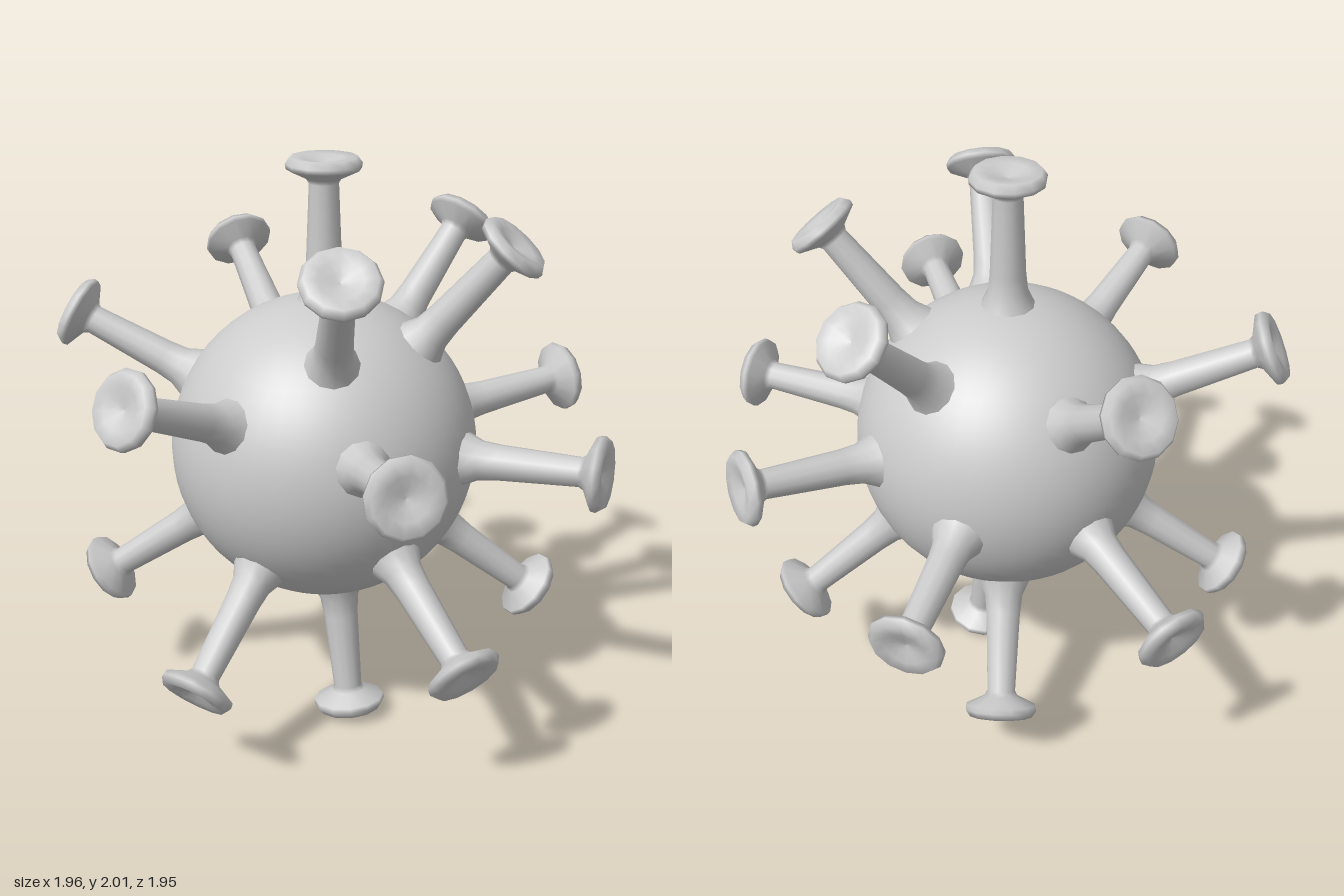
import * as THREE from 'three';

const CENTER = new THREE.Vector3(0.005, 0.995, 0.035);

// Positions of the spike heads
const TIPS = [
  [0.005, 2, 0.035], [0.54, 1.74, 0.35], [0.5, 1.74, -0.36], [-0.1, 1.68, -0.65],
  [-0.8, 1.55, -0.12], [-0.61, 1.4, 0.61], [0.22, 1.37, 0.9], [0.91, 1.2, 0.38],
  [0.83, 1.04, -0.47], [0.18, 1.1, -0.92], [-0.5, 0.83, -0.78], [-0.92, 0.74, -0.05],
  [-0.55, 0.44, 0.62], [0.27, 0.38, 0.72], [0.83, 0.48, 0.07], [0.36, 0.4, -0.62],
  [-0.43, 0.22, -0.35], [0.17, 0.04, 0.04],
];

// Spike outline as [radius, distance from the body's centre]: flared foot, tapering stalk, dished head
const PROFILE = [
  [0.105, 0.49], [0.09, 0.527], [0.068, 0.575], [0.061, 0.64], [0.05, 0.915], [0.06, 0.932],
  [0.125, 0.963], [0.128, 0.98], [0.112, 1.003], [0.07, 0.997], [0.03, 0.983], [0, 0.976],
];

export function createModel() {
  const model = new THREE.Group();
  model.name = 'spikedSphere';
  const material = new THREE.MeshStandardMaterial({ color: 0xcccccc });

  // Round body
  const body = new THREE.Mesh(new THREE.SphereGeometry(0.532, 48, 32), material);
  body.name = 'body';
  body.position.copy(CENTER);
  model.add(body);

  // Spikes pointing straight out from the body
  const spikeGeometry = new THREE.LatheGeometry(PROFILE.map(([r, y]) => new THREE.Vector2(r, y)), 12);
  const up = new THREE.Vector3(0, 1, 0);
  TIPS.forEach((tip, i) => {
    const direction = new THREE.Vector3(...tip).sub(CENTER).normalize();
    const spike = new THREE.Mesh(spikeGeometry, material);
    spike.name = `spike${i + 1}`;
    spike.position.copy(CENTER);
    spike.quaternion.setFromUnitVectors(up, direction);
    model.add(spike);
  });

  return model;
}
